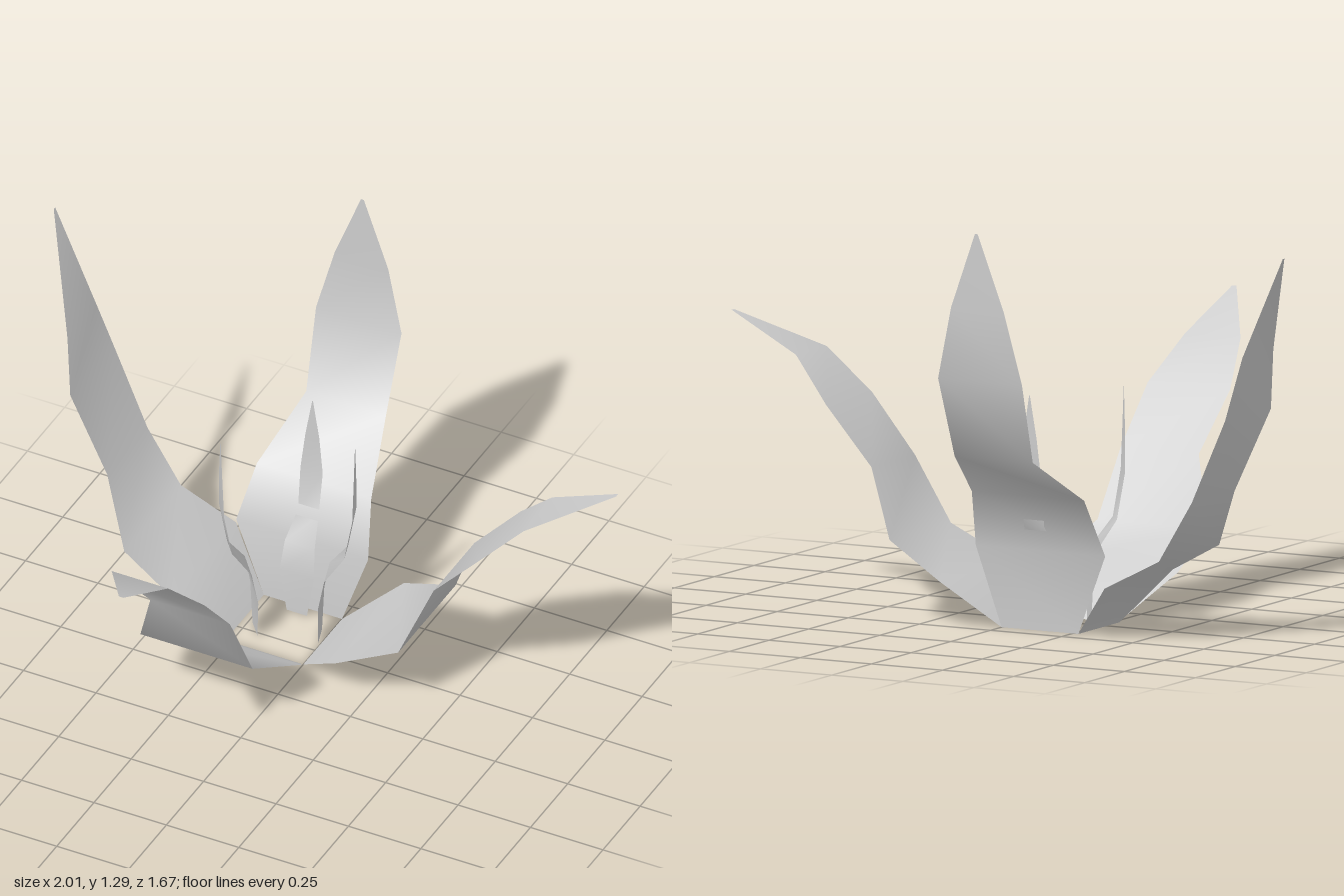
import * as THREE from 'three';

// Leaf cross-sections from base to tip: [outward, height, edge A, edge B]
const SPREADING = [
  [0, 0, -0.13, 0.13], [0.17, 0.14, -0.215, 0.245], [0.38, 0.245, -0.155, 0.232],
  [0.463, 0.46, -0.12, 0.155], [0.625, 0.64, -0.115, 0.175], [0.762, 0.778, -0.06, 0.135],
  [1.005, 0.895, -0.03, -0.015],
];
const RAISED = [
  [0, 0, -0.13, 0.13], [0.145, 0.165, -0.205, 0.225], [0.325, 0.26, -0.175, 0.205],
  [0.435, 0.45, -0.075, 0.195], [0.56, 0.715, -0.08, 0.21], [0.585, 0.905, -0.05, 0.145],
  [0.73, 1.225, 0.14, 0.15],
];
const UPRIGHT = [
  [0, 0, -0.135, 0.135], [0.01, 0.25, -0.235, 0.22], [0.08, 0.43, -0.2, 0.195],
  [0.305, 0.575, -0.145, 0.13], [0.4, 0.83, -0.16, 0.135], [0.408, 1.055, -0.1, 0.085],
  [0.41, 1.29, -0.01, 0],
];

// Skins a thin sheet over the sections; the leaf grows towards -z
function leafGeometry(sections) {
  const points = [], faces = [];
  sections.forEach(([out, y, a, b], i) => {
    points.push(a, y, -out, b, y, -out);
    if (i) {
      const k = 2 * i;
      faces.push(k - 2, k - 1, k + 1, k - 2, k + 1, k);
    }
  });
  const g = new THREE.BufferGeometry();
  g.setAttribute('position', new THREE.Float32BufferAttribute(points, 3));
  g.setIndex(faces);
  g.computeVertexNormals();
  return g;
}

export function createModel() {
  const plant = new THREE.Group();
  plant.name = 'plant';
  const grey = new THREE.MeshStandardMaterial({ color: 0xcccccc, side: THREE.DoubleSide });
  grey.name = 'leaf grey';

  const spreading = leafGeometry(SPREADING);
  const raised = leafGeometry(RAISED);
  const upright = leafGeometry(UPRIGHT);
  const blade = upright.clone().scale(0.26, 0.575, 0.265);
  blade.computeVertexNormals();

  function addLeaf(name, geometry, x, z, turn) {
    const leaf = new THREE.Mesh(geometry, grey);
    leaf.name = name;
    leaf.position.set(x, 0, z);
    leaf.rotation.y = turn;
    plant.add(leaf);
  }

  // Four large outer leaves
  addLeaf('leftLeaf', spreading, 0, -0.3, -Math.PI / 2);
  addLeaf('frontLeaf', spreading, -0.135, -0.17, Math.PI);
  addLeaf('rightLeaf', raised, -0.27, -0.3, Math.PI / 2);
  addLeaf('backLeaf', upright, -0.135, -0.43, 0);

  // Three small inner blades
  addLeaf('backBlade', blade, -0.138, -0.395, 0);
  addLeaf('leftBlade', blade, -0.02, -0.322, -1.265);
  addLeaf('rightBlade', blade, -0.214, -0.262, 2.257);
  return plant;
}
